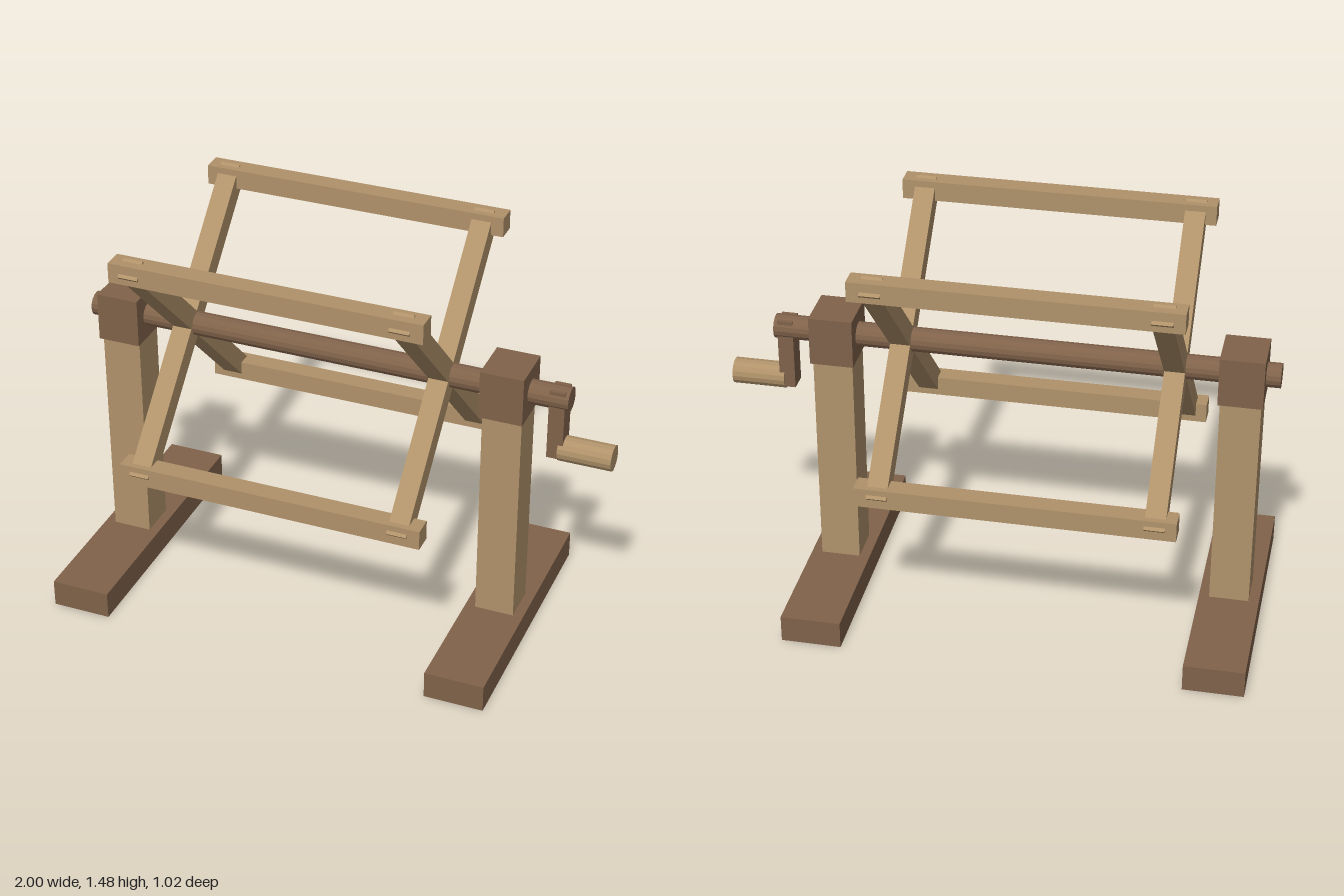
import * as THREE from 'three';

export function createModel() {
  const model = new THREE.Group();
  model.name = 'windingReel';

  const lightWood = new THREE.MeshStandardMaterial({ color: 0xb0926a });
  lightWood.name = 'light wood';
  const darkWood = new THREE.MeshStandardMaterial({ color: 0x80624a });
  darkWood.name = 'dark wood';

  const AXLE_Y = 1.027;

  function add(name, geometry, material, x, y, z, parent = model) {
    const mesh = new THREE.Mesh(geometry, material);
    mesh.name = name;
    mesh.position.set(x, y, z);
    parent.add(mesh);
    return mesh;
  }
  const box = (w, h, d) => new THREE.BoxGeometry(w, h, d);
  // faceted rod lying along x
  const rod = (radius, length) => {
    const g = new THREE.CylinderGeometry(radius, radius, length, 16).rotateZ(Math.PI / 2).toNonIndexed();
    g.computeVertexNormals();
    return g;
  };

  // Two stands: foot, post and bearing block
  for (const x of [-0.868, 0.608]) {
    const stand = new THREE.Group();
    stand.name = 'stand';
    stand.position.x = x;
    model.add(stand);
    add('foot', box(0.222, 0.103, 1.024), darkWood, 0, 0.0515, 0, stand);
    add('post', box(0.146, 0.835, 0.146), lightWood, 0, 0.52, 0, stand);
    add('bearingBlock', box(0.16, 0.184, 0.184), darkWood, 0, AXLE_Y, 0, stand);
  }

  // Axle and hand crank
  add('axle', rod(0.045, 1.835), darkWood, -0.0825, AXLE_Y, 0);
  add('crankArm', box(0.058, 0.27, 0.074), darkWood, 0.793, 0.93, 0);
  add('crankHandle', rod(0.048, 0.196), lightWood, 0.902, 0.823, 0);

  // Reel: two crosses of spokes joined by four rails
  const reel = new THREE.Group();
  reel.name = 'reel';
  reel.position.y = AXLE_Y;
  model.add(reel);
  for (const x of [-0.628, 0.362]) {
    for (const side of [-1, 1]) {
      add('spoke', box(0.074, 1.216, 0.072), lightWood, x, 0, 0, reel).rotation.x = side * Math.PI / 4;
    }
  }
  for (const y of [-0.41, 0.41]) {
    for (const z of [-0.409, 0.409]) {
      add('rail', box(1.15, 0.074, 0.074), lightWood, -0.13, y, z, reel);
    }
  }
  return model;
}
